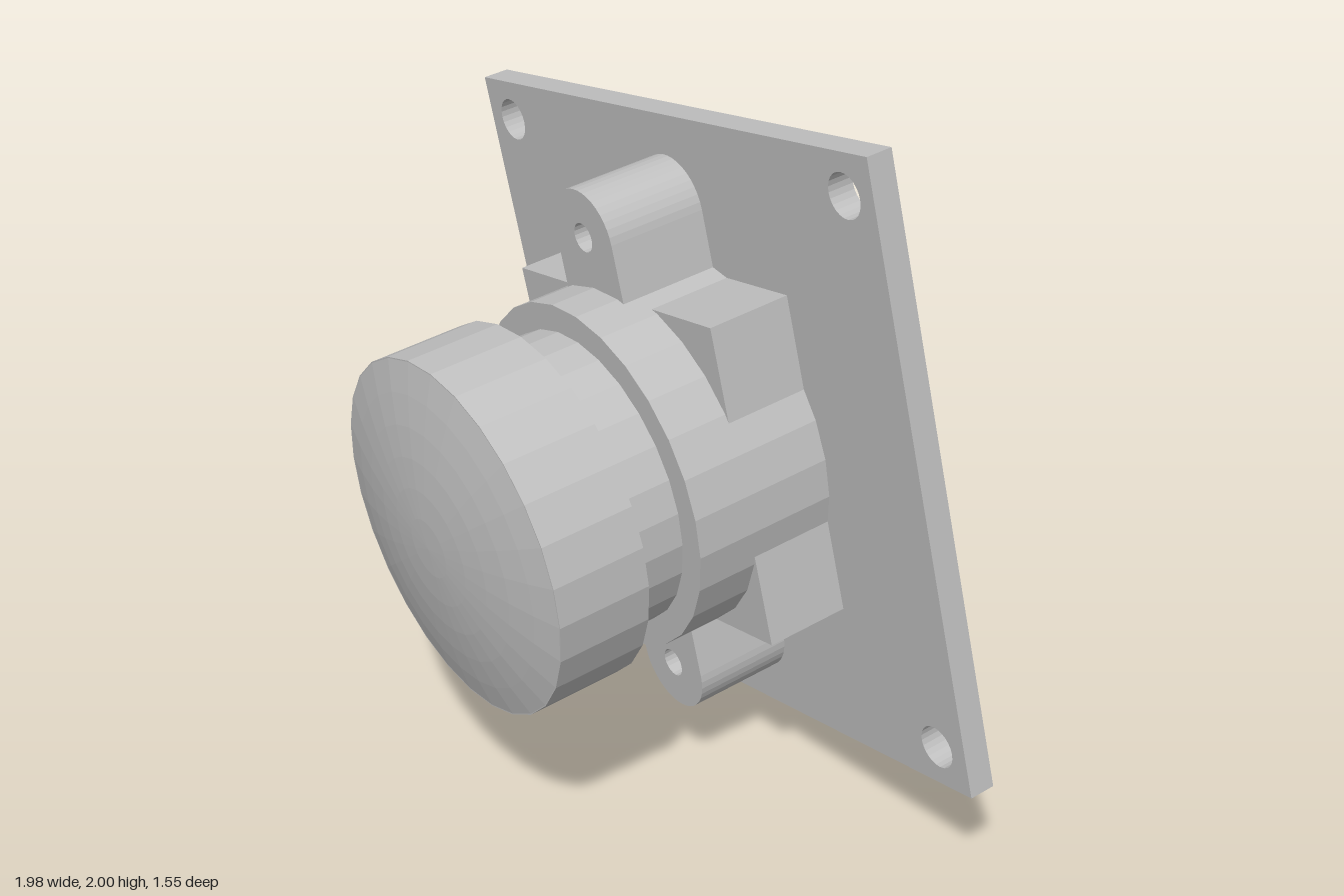
import * as THREE from 'three';

const grey = new THREE.MeshStandardMaterial({ color: 0xc0c0c0, flatShading: true });
grey.name = 'plain grey';

function add(parent, name, geometry, x = 0, y = 0, z = 0) {
  const mesh = new THREE.Mesh(geometry, grey);
  mesh.name = name;
  mesh.position.set(x, y, z);
  parent.add(mesh);
  return mesh;
}

// Round part along the optical axis (local z), from z0 to z1
function drum(parent, name, radius, z0, z1) {
  const g = new THREE.CylinderGeometry(radius, radius, z1 - z0, 28).rotateX(Math.PI / 2);
  return add(parent, name, g, 0, 0, (z0 + z1) / 2);
}

function hole(shape, x, y, r) {
  const path = new THREE.Path();
  path.absarc(x, y, r, 0, Math.PI * 2, true);
  shape.holes.push(path);
}

const extrude = (shape, depth, curveSegments) =>
  new THREE.ExtrudeGeometry(shape, { depth, bevelEnabled: false, curveSegments });

export function createModel() {
  const model = new THREE.Group();
  model.name = 'cameraModule';

  // Tilted frame: local xy is the board's front face, local z its normal
  const tilted = new THREE.Group();
  tilted.name = 'tiltedAssembly';
  const n = new THREE.Vector3(-0.291, -0.103, 0.951).normalize();
  const u = new THREE.Vector3(0.937, 0.172, 0.305).normalize();
  const v = n.clone().cross(u).normalize();
  u.crossVectors(v, n);
  tilted.quaternion.setFromRotationMatrix(new THREE.Matrix4().makeBasis(u, v, n));
  tilted.position.set(-0.005, 1.005, -0.175);
  model.add(tilted);

  // Square board with four corner holes
  const h = 0.867, t = 0.075;
  const board = new THREE.Shape([[-h, -h], [h, -h], [h, h], [-h, h]].map(p => new THREE.Vector2(...p)));
  for (const sx of [-1, 1]) for (const sy of [-1, 1]) hole(board, sx * 0.755, sy * 0.755, 0.06);
  add(tilted, 'board', extrude(board, t, 12), 0, 0, -t);

  // Lens mount block and its round body
  add(tilted, 'mountBlock', new THREE.BoxGeometry(0.89, 0.89, 0.24), 0, 0, 0.12);
  drum(tilted, 'mountBody', 0.485, 0, 0.415);

  // Screw lugs above and below the mount
  for (const s of [1, -1]) {
    const r = 0.132, y = 0.623;
    const lug = new THREE.Shape();
    lug.moveTo(-r, 0.42);
    lug.lineTo(r, 0.42);
    lug.absarc(0, y, r, 0, Math.PI, false);
    lug.closePath();
    hole(lug, 0, y, 0.04);
    const mesh = add(tilted, s > 0 ? 'upperLug' : 'lowerLug', extrude(lug, 0.285, 10));
    if (s < 0) mesh.rotation.z = Math.PI;
  }

  // Lens barrel: neck, wide front ring and shallow domed glass
  drum(tilted, 'lensNeck', 0.41, 0.4, 0.6);
  drum(tilted, 'lensRing', 0.493, 0.58, 0.845);
  const dome = [];
  for (let i = 0; i <= 6; i++) {
    const r = 0.49 * (1 - i / 6);
    dome.push(new THREE.Vector2(r, 0.07 * (1 - (r / 0.49) ** 2)));
  }
  add(tilted, 'lensDome', new THREE.LatheGeometry(dome, 28).rotateX(Math.PI / 2), 0, 0, 0.845);

  // Connector block on the back
  add(tilted, 'rearConnector', new THREE.BoxGeometry(0.35, 0.69, 0.255), -0.688, -0.008, -t - 0.1275);

  return model;
}
